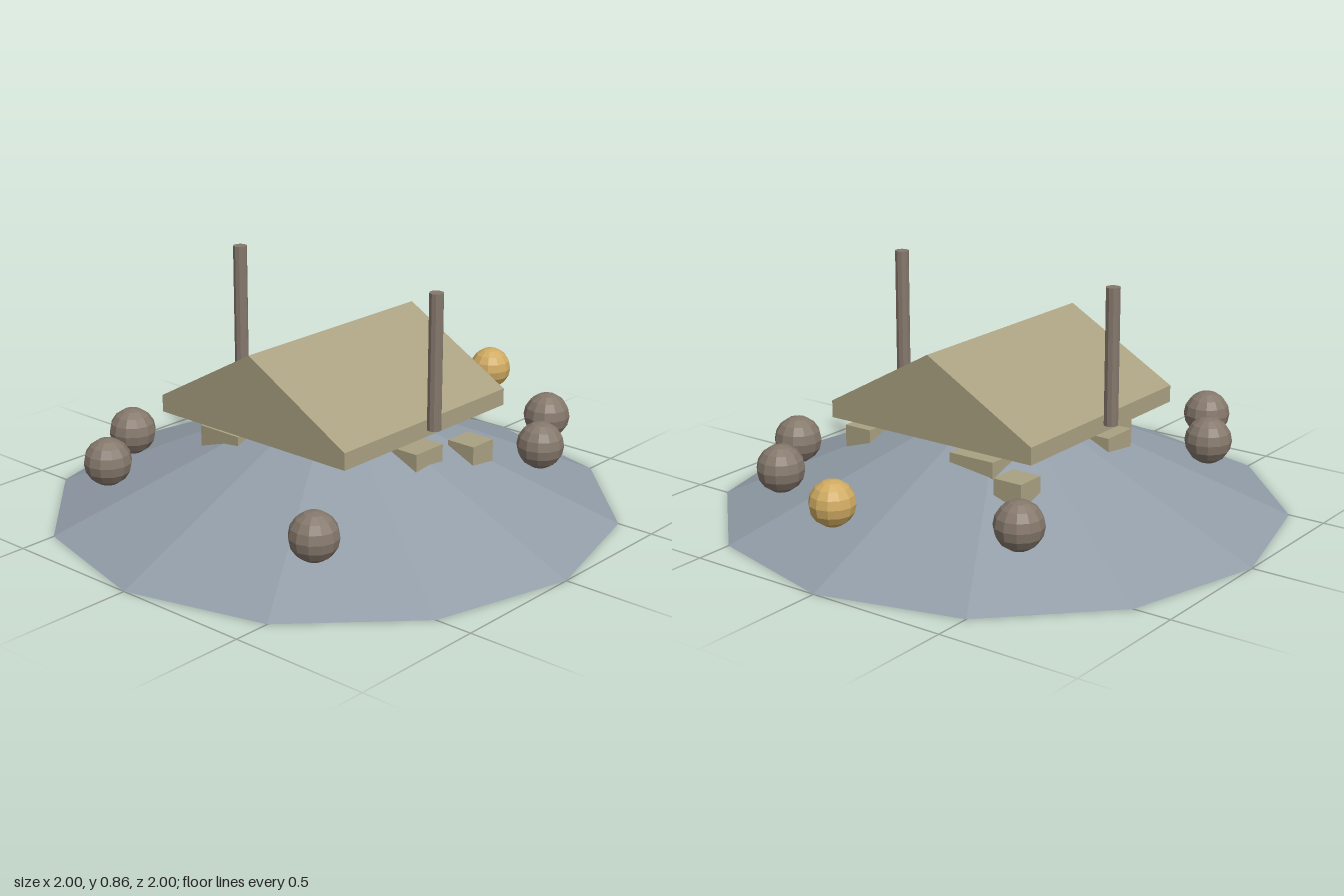
import * as THREE from 'three';

const mat = (name, color) => {
  const m = new THREE.MeshStandardMaterial({ color, flatShading: true });
  m.name = name;
  return m;
};

export function createModel() {
  const slate = mat('slateBlue', 0x929da8);
  const tan = mat('tan', 0xaaa182);
  const brown = mat('greyBrown', 0x85786c);
  const gold = mat('gold', 0xd0ab62);

  const model = new THREE.Group();
  const add = (name, geometry, material, x, y, z) => {
    const mesh = new THREE.Mesh(geometry, material);
    mesh.name = name;
    mesh.position.set(x, y, z);
    model.add(mesh);
    return mesh;
  };

  // Low twelve-sided mound with a closed base
  add('mound', new THREE.ConeGeometry(1, 0.44, 12), slate, 0, 0.22, 0);

  // Gabled roof block, ridge running front to back
  const gable = new THREE.Shape([
    new THREE.Vector2(-0.42, 0.35), new THREE.Vector2(0.42, 0.35),
    new THREE.Vector2(0.42, 0.41), new THREE.Vector2(0, 0.645),
    new THREE.Vector2(-0.42, 0.41),
  ]);
  add('roof', new THREE.ExtrudeGeometry(gable, { depth: 0.84, bevelEnabled: false }), tan, 0, 0, -0.42);

  // Poles either side of the roof
  for (const side of [-1, 1]) {
    add('pole', new THREE.CylinderGeometry(0.025, 0.025, 0.475, 10), brown, side * 0.447, 0.618, 0);
  }

  // Round boulders on the slope
  const boulder = new THREE.SphereGeometry(0.083, 12, 8);
  [[-0.53, -0.635], [0.42, -0.685], [0.58, -0.425], [-0.58, 0.42], [-0.42, 0.68], [0.525, 0.68]]
    .forEach(([x, z]) => add('boulder', boulder, brown, x, 0.24, z));

  // Golden ball at the back
  add('goldenBall', new THREE.SphereGeometry(0.077, 12, 8), gold, 0, 0.275, -0.9);

  // Blocks half sunk in the mound under the eaves: centre x, z, top, width, depth
  [
    [0.34, 0, 0.305, 0.18, 0.14],
    [-0.33, 0.13, 0.305, 0.14, 0.14],
    [-0.22, 0.275, 0.305, 0.18, 0.14],
    [-0.14, -0.3, 0.305, 0.18, 0.14],
    [0.425, -0.23, 0.275, 0.11, 0.11],
    [-0.325, -0.365, 0.275, 0.11, 0.11],
  ].forEach(([x, z, top, w, d]) =>
    add('block', new THREE.BoxGeometry(w, 0.11, d), tan, x, top - 0.055, z));

  return model;
}
